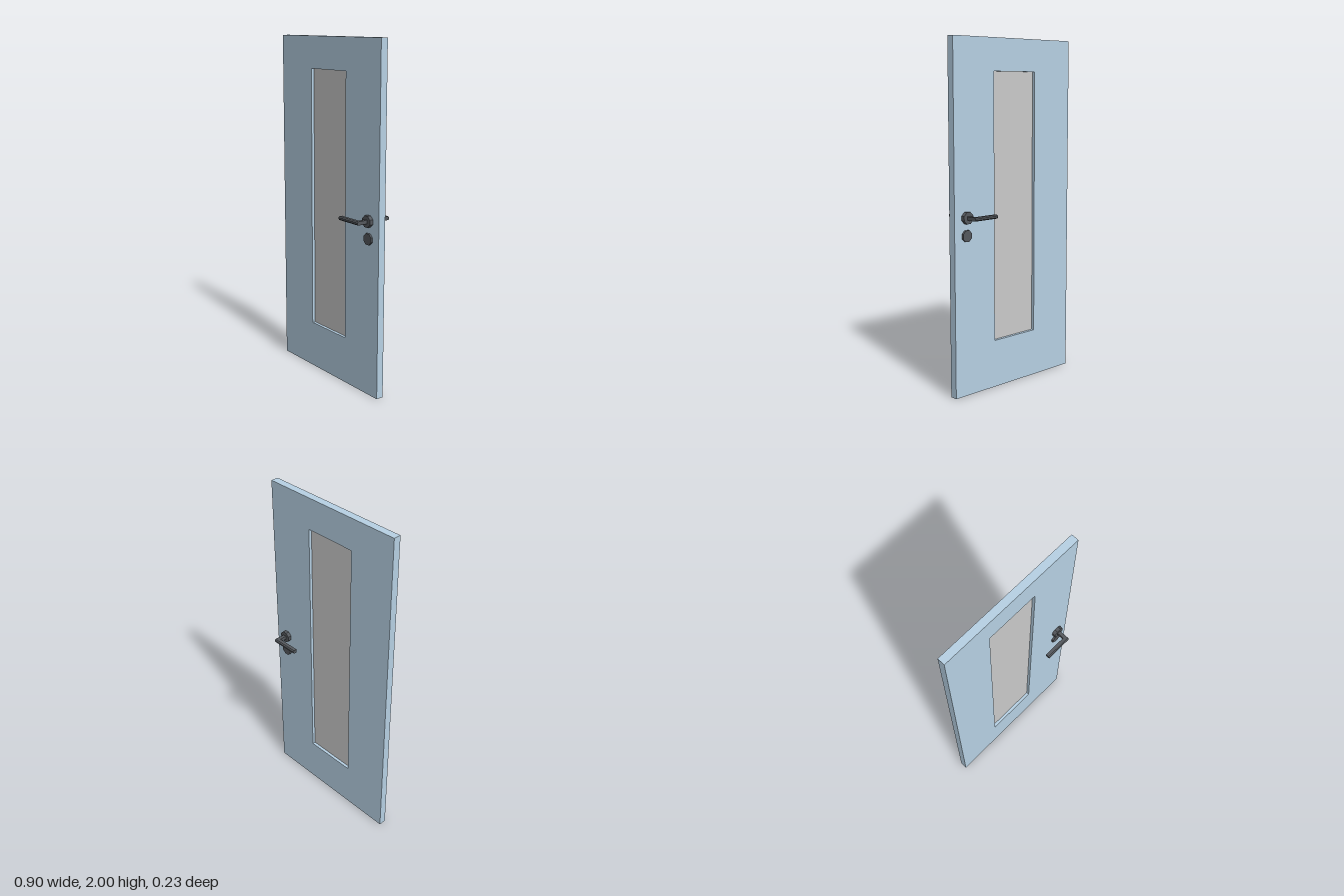
import * as THREE from 'three';

const doorPaint = new THREE.MeshStandardMaterial({ color: 0xb8d2e5 });
const glassGrey = new THREE.MeshStandardMaterial({ color: 0xcccccc });
const darkMetal = new THREE.MeshStandardMaterial({ color: 0x55595e, flatShading: true });

const HALF_DEPTH = 0.022; // half the door thickness
const HANDLE_X = 0.366;
const HANDLE_Y = 1.019;

function add(parent, name, geometry, material, x = 0, y = 0, z = 0) {
  const mesh = new THREE.Mesh(geometry, material);
  mesh.name = name;
  mesh.position.set(x, y, z);
  parent.add(mesh);
  return mesh;
}

function rectangle(Path, x0, y0, x1, y1) {
  const path = new Path();
  path.moveTo(x0, y0).lineTo(x1, y0).lineTo(x1, y1).lineTo(x0, y1).closePath();
  return path;
}

// Eight-sided plate facing z, flat edges up and to the sides
function plateGeometry(apothem, depth) {
  const geometry = new THREE.CylinderGeometry(
    apothem / Math.cos(Math.PI / 8), apothem / Math.cos(Math.PI / 8), depth, 8);
  return geometry.rotateY(Math.PI / 8).rotateX(Math.PI / 2);
}

// Lever running along x, with its outer long edges chamfered
function leverGeometry(side) {
  const h = 0.0105, inner = 0.087, outer = 0.113, cut = 0.006;
  const profile = new THREE.Shape(
    [[inner, -h], [outer - cut, -h], [outer, -h + cut], [outer, h - cut], [outer - cut, h], [inner, h]]
      .map(([z, y]) => new THREE.Vector2(-side * z, y)));
  return new THREE.ExtrudeGeometry(profile, { depth: 0.165, bevelEnabled: false }).rotateY(Math.PI / 2);
}

export function createModel() {
  const door = new THREE.Group();
  door.name = 'door';

  // Leaf with a tall window opening
  const leaf = rectangle(THREE.Shape, -0.449, 0, 0.449, 2);
  leaf.holes.push(rectangle(THREE.Path, -0.162, 0.278, 0.156, 1.816));
  add(door, 'doorLeaf',
    new THREE.ExtrudeGeometry(leaf, { depth: 2 * HALF_DEPTH, bevelEnabled: false }),
    doorPaint, 0, 0, -HALF_DEPTH);

  // Recessed pane
  add(door, 'windowPane', new THREE.BoxGeometry(0.318, 1.538, 0.008), glassGrey, -0.003, 1.047, 0);

  // Handle and lock plate on both faces
  for (const side of [1, -1]) {
    const handle = new THREE.Group();
    handle.name = side > 0 ? 'frontHandle' : 'backHandle';
    door.add(handle);
    add(handle, 'rosette', plateGeometry(0.0325, 0.022), darkMetal, HANDLE_X, HANDLE_Y, side * (HALF_DEPTH + 0.011));
    add(handle, 'neck', new THREE.BoxGeometry(0.021, 0.021, 0.048), darkMetal, HANDLE_X, HANDLE_Y, side * 0.064);
    add(handle, 'lever', leverGeometry(side), darkMetal, 0.212, HANDLE_Y, 0);
    add(handle, 'lockPlate', plateGeometry(0.0315, 0.012), darkMetal, HANDLE_X, 0.918, side * (HALF_DEPTH + 0.006));
  }
  return door;
}
